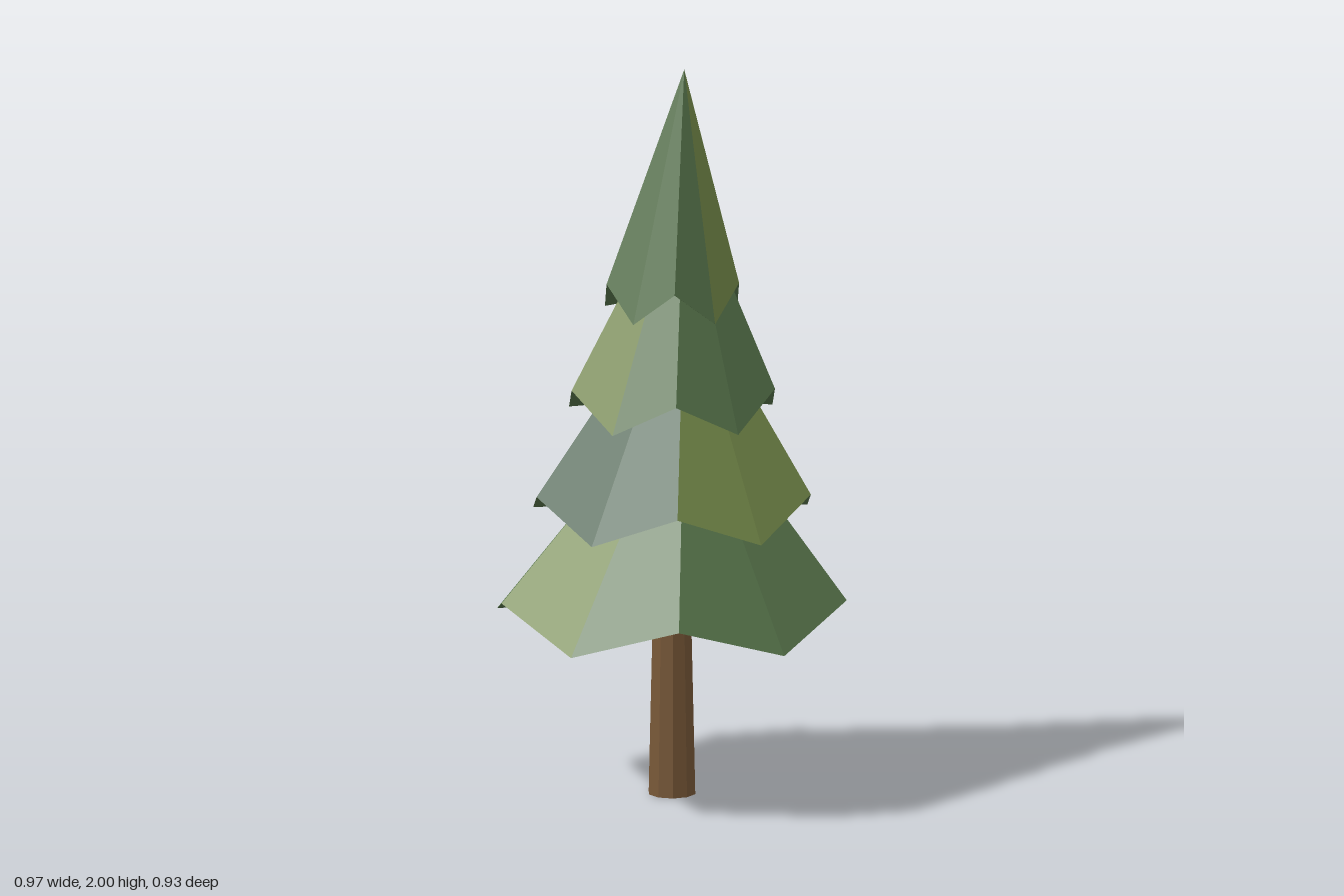
import * as THREE from 'three';

const SIDES = 10;
const TIER_HEIGHT = 0.665; // from the lowest rim point to the tip
const LEAN = 0.035;        // sideways offset of each tip

function flatMaterial(name, color) {
  const m = new THREE.MeshStandardMaterial({ color, flatShading: true });
  m.name = name;
  return m;
}

// A leaning ten-sided cone with a zigzag rim, one colour per facet
function tierGeometry(radius, low, facets) {
  const tip = [LEAN, low + TIER_HEIGHT, 0];
  const centre = [0, low + 0.045, 0];
  const rim = (k) => {
    const a = (k / SIDES) * Math.PI * 2;
    return [Math.cos(a) * radius, low + (k % 2 ? 0.09 : 0), Math.sin(a) * radius];
  };
  const positions = [];
  const geometry = new THREE.BufferGeometry();
  for (let k = 0; k < SIDES; k++) {
    const a = rim(k), b = rim((k + 1) % SIDES);
    positions.push(...b, ...a, ...tip);       // outer facet
    geometry.addGroup(k * 6, 3, 'GBO'.indexOf(facets[k]));
    positions.push(...a, ...b, ...centre);    // underside facet
    geometry.addGroup(k * 6 + 3, 3, 0);
  }
  geometry.setAttribute('position', new THREE.Float32BufferAttribute(positions, 3));
  geometry.computeVertexNormals();
  return geometry;
}

export function createModel() {
  const tree = new THREE.Group();
  tree.name = 'pineTree';

  const foliage = [
    flatMaterial('needleGreen', 0x56734a),
    flatMaterial('deepGreen', 0x3b5b41),
    flatMaterial('oliveGreen', 0x738849),
  ];
  const bark = flatMaterial('bark', 0x785838);

  // Trunk, slightly tapered
  const trunk = new THREE.Mesh(
    new THREE.CylinderGeometry(0.052, 0.065, 0.56, SIDES, 1, false, Math.PI / 2), bark);
  trunk.name = 'trunk';
  trunk.position.y = 0.28;
  tree.add(trunk);

  // Four tiers, bottom to top; letters give facet colours (Green, Blue-green, Olive)
  ['GGGGOGOOGG', 'BOOBBGGGGG', 'BGGGOGGBGB', 'OOGGGBOBGG'].forEach((facets, i) => {
    const geometry = tierGeometry(0.487 - i * 0.1, 0.477 + i * 0.286, facets);
    const tier = new THREE.Mesh(geometry, foliage);
    tier.name = `branchTier${i + 1}`;
    tree.add(tier);
  });

  return tree;
}
